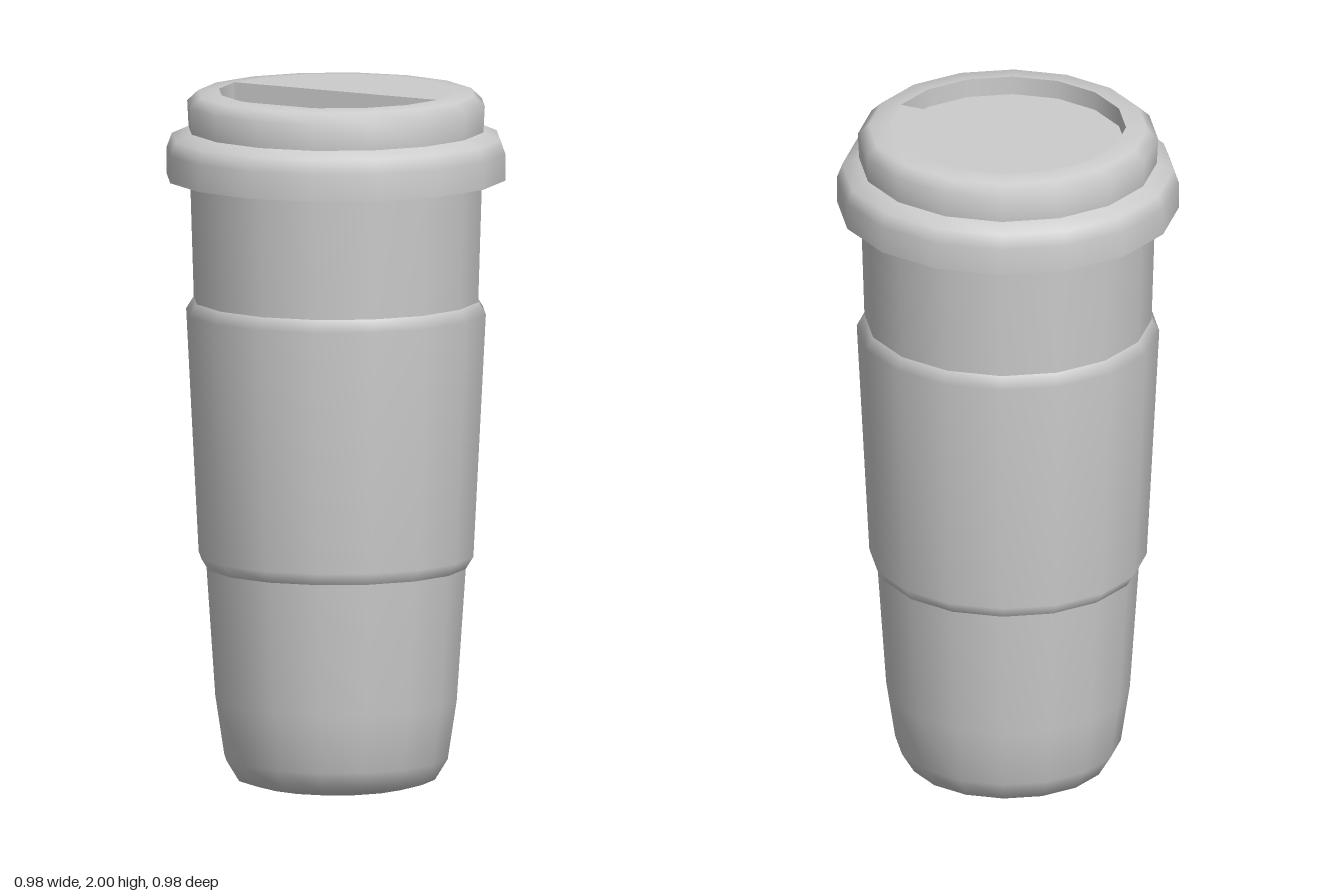
import * as THREE from 'three';

const SIDES = 16;

export function createModel() {
  const cup = new THREE.Group();
  cup.name = 'travelCup';
  const grey = new THREE.MeshStandardMaterial({ color: 0xcccccc, side: THREE.DoubleSide });
  grey.name = 'grey';

  const add = (parent, name, geometry) => {
    const mesh = new THREE.Mesh(geometry, grey);
    mesh.name = name;
    parent.add(mesh);
    return mesh;
  };
  // Profiles are [radius, height] pairs, listed from the bottom outwards and up
  const turn = (parent, name, profile) => add(parent, name,
    new THREE.LatheGeometry(profile.map(([r, y]) => new THREE.Vector2(r, y)), SIDES));

  // Cup body, with a flat base and rounded foot
  turn(cup, 'lowerBody', [[0, 0], [0.215, 0], [0.285, 0.02], [0.322, 0.08], [0.348, 0.25], [0.374, 0.63]]);
  turn(cup, 'upperBody', [[0.374, 0.63], [0.41, 1.4], [0.422, 1.79]]);

  // Grip sleeve with bevelled ends
  turn(cup, 'sleeve', [[0.374, 0.63], [0.396, 0.665], [0.432, 1.365], [0.41, 1.4]]);

  // Lid: rim around the cup, raised crown and top
  const lid = new THREE.Group();
  lid.name = 'lid';
  cup.add(lid);
  turn(lid, 'rimUnderside', [[0.42, 1.775], [0.455, 1.775], [0.46, 1.752], [0.488, 1.752]]);
  turn(lid, 'rim', [[0.488, 1.752], [0.488, 1.83], [0.473, 1.87], [0.425, 1.89]]);
  turn(lid, 'crown', [[0.425, 1.89], [0.429, 1.965], [0.397, 1.995], [0.337, 2]]);

  // Top: flat back half, sunken front half
  const R = 0.337, DEPTH = 0.055;
  const half = (name, start, y) => {
    const geometry = new THREE.CircleGeometry(R, SIDES / 2, start, Math.PI);
    add(lid, name, geometry.rotateX(-Math.PI / 2).translate(0, y, 0));
  };
  half('topPlate', 0, 2);
  half('recessFloor', Math.PI, 2 - DEPTH);
  add(lid, 'recessCurvedWall',
    new THREE.CylinderGeometry(R, R, DEPTH, SIDES / 2, 1, true, -Math.PI / 2, Math.PI)
      .translate(0, 2 - DEPTH / 2, 0));
  add(lid, 'recessStraightWall',
    new THREE.PlaneGeometry(2 * R, DEPTH).translate(0, 2 - DEPTH / 2, 0));

  return cup;
}
